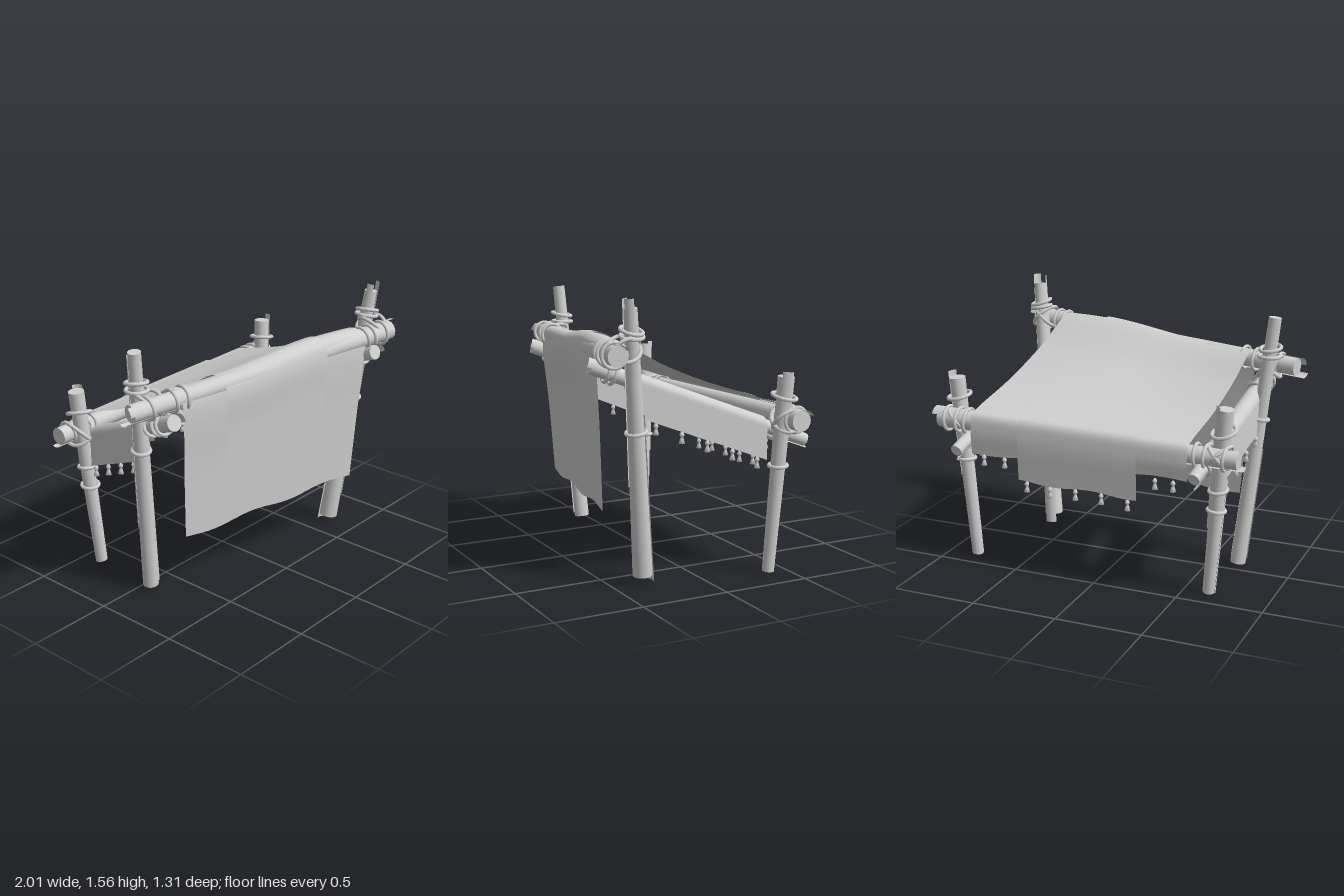
import * as THREE from 'three';

const V = (x, y, z) => new THREE.Vector3(x, y, z);
const lerp = THREE.MathUtils.lerp;
const UP = V(0, 1, 0);
const clay = new THREE.MeshStandardMaterial({ color: 0xd0d0d0, side: THREE.DoubleSide });
clay.name = 'plain grey';

function add(parent, geometry, name) {
  const mesh = new THREE.Mesh(geometry, clay);
  mesh.name = name;
  parent.add(mesh);
  return mesh;
}

// Log from a to b, with split bark strips [angle, arc, start, end] along its length
function log(parent, name, a, b, ra, rb, strips) {
  const g = new THREE.Group();
  g.name = name;
  const dir = b.clone().sub(a), len = dir.length();
  g.position.copy(a);
  g.quaternion.setFromUnitVectors(UP, dir.normalize());
  const core = add(g, new THREE.CylinderGeometry(rb, ra, len, 18), 'core');
  core.position.y = len / 2;
  for (const [angle, arc, s, e] of strips) {
    const r0 = lerp(ra, rb, s / len) + 0.006, r1 = lerp(ra, rb, e / len) + 0.006;
    const bark = add(g, new THREE.CylinderGeometry(r1, r0, e - s, 6, 1, true, angle, arc), 'barkStrip');
    bark.position.y = (s + e) / 2;
  }
  parent.add(g);
  return t => a.clone().lerp(b, t);
}

// Rope ring around an axis
function ring(parent, p, axis, r, tube = 0.011) {
  const m = add(parent, new THREE.TorusGeometry(r, tube, 8, 28), 'ropeRing');
  m.position.copy(p);
  m.quaternion.setFromUnitVectors(V(0, 0, 1), axis.clone().normalize());
}

// Cloth surface from fn(u, v)
function cloth(parent, name, nu, nv, fn) {
  const geo = new THREE.PlaneGeometry(1, 1, nu, nv), pos = geo.attributes.position;
  for (let i = 0; i < pos.count; i++) {
    const p = fn((i % (nu + 1)) / nu, Math.floor(i / (nu + 1)) / nv);
    pos.setXYZ(i, p.x, p.y, p.z);
  }
  geo.computeVertexNormals();
  return add(parent, geo, name);
}

const tasselProfile = [[0, 0], [0.006, 0], [0.013, -0.012], [0.013, -0.02], [0.007, -0.028],
  [0.01, -0.038], [0.017, -0.062], [0, -0.062]].map(p => new THREE.Vector2(...p));
const tasselGeo = new THREE.LatheGeometry(tasselProfile, 10);
function tassel(parent, p) {
  add(parent, tasselGeo, 'tassel').position.copy(p);
}

// Lengthwise profile of the canopy at width u, lifted by o
function canopyCurve(u, o, hemF, hemB) {
  const f = V(lerp(-0.67, 0.61, u), lerp(1.185, 1.25, u) - 0.016 * Math.sin(u * 2 * Math.PI), lerp(0.25, 0.5, u));
  const b = V(lerp(-0.57, 0.74, u), lerp(0.83, 0.86, u), -0.47);
  const front = y => V(lerp(f.x, lerp(-0.61, 0.575, u), (f.y - y) / 0.85), y, f.z + 0.02 + 0.045 * (y - 0.38) / 0.85 + o);
  const top = t => V(lerp(f.x, b.x, t), lerp(f.y + 0.07, b.y + 0.08, t) - 0.035 * Math.sin(t * Math.PI) + o, lerp(f.z - 0.02, b.z + 0.02, t));
  return new THREE.CatmullRomCurve3([
    front(hemF), front(lerp(hemF, f.y, 0.5)),
    V(f.x, f.y - 0.02, f.z + 0.065 + o), V(f.x, f.y + 0.048 + o * 0.7, f.z + 0.045 + o * 0.7),
    top(0), top(0.33), top(0.67), top(1),
    V(b.x, b.y + 0.055 + o * 0.7, b.z - 0.055 - o * 0.7), V(b.x, b.y - 0.03, b.z - 0.075 - o),
    V(b.x, hemB, b.z - 0.068 - o),
  ], false, 'centripetal');
}

function canopy(parent, name, u0, u1, o, hemF, hemB) {
  const nu = 24, curves = [];
  for (let i = 0; i <= nu; i++) {
    const u = lerp(u0, u1, i / nu);
    curves.push(canopyCurve(u, o, hemF(u), hemB(u)));
  }
  cloth(parent, name, nu, 70, (u, v) => curves[Math.round(u * nu)].getPoint(v));
}

// Narrow cloth folded over a side beam between t0 and t1, side = direction of the long flap
function valance(parent, name, beam, t0, t1, side, count) {
  const r = 0.052, outer = 0.185, inner = 0.1;
  const at = (t, v) => {
    const c = beam(t);
    if (v < 0.35) return c.add(V(side * r, -outer * (1 - v / 0.35), 0));
    if (v > 0.8) return c.add(V(-side * r, -inner * (v - 0.8) / 0.2, 0));
    const a = (v - 0.35) / 0.45 * Math.PI;
    return c.add(V(side * r * Math.cos(a), r * Math.sin(a), 0));
  };
  cloth(parent, name, 10, 40, (u, v) => at(lerp(t0, t1, u), v));
  for (let i = 0; i < count; i++) tassel(parent, at(lerp(t0, t1, (i + 0.6) / count), 0));
}

export function createModel() {
  const model = new THREE.Group();
  model.name = 'canopyShelter';

  // Posts: foot, head, radii, bark strips, ring fractions
  const posts = [
    ['frontLeftPost', V(0.65, 0.04, 0.32), V(0.79, 1.5, 0.465), 0.055, 0.036,
      [[0.3, 1.3, 0.15, 1.53], [2.6, 1.2, -0.05, 0.9], [4.6, 1, 0.5, 1.52]], [0.55, 0.9, 0.92]],
    ['frontRightPost', V(-0.68, 0.02, 0.055), V(-0.835, 1.48, 0.13), 0.045, 0.036,
      [[0.2, 1.2, 0.03, 1.0], [3.2, 1.2, 0.4, 1.45], [5, 0.9, 0.02, 0.7]], [0.6, 0.85, 0.88]],
    ['backLeftPost', V(0.815, 0.005, -0.38), V(0.88, 1.1, -0.43), 0.034, 0.046,
      [[0.6, 1.2, 0.5, 1.13], [3.5, 1, 0, 0.7]], [0.55, 0.9]],
    ['backRightPost', V(-0.65, 0.005, -0.38), V(-0.745, 1.09, -0.43), 0.034, 0.046,
      [[1.6, 1.2, 0.4, 1.11], [4.5, 1, 0, 0.7]], [0.46, 0.57, 0.88]],
  ];
  for (const [name, a, b, ra, rb, strips, rings] of posts) {
    const at = log(model, name, a, b, ra, rb, strips), axis = b.clone().sub(a);
    rings.forEach((t, i) => ring(model, at(t), axis.clone().add(V(i * 0.15, 0, 0.1 - i * 0.2)), lerp(ra, rb, t) + (t > 0.8 ? 0.022 : 0.009)));
  }

  // Cross beams and their lashings
  const beams = [
    ['frontBeam', V(-0.95, 1.19, 0.205), V(0.85, 1.265, 0.565), 0.05, 0.055,
      [[0.5, 1.3, -0.05, 0.5], [3.4, 1.2, 1.3, 1.87], [5, 1, -0.03, 0.3]], [0.06, 0.14, 0.18, 0.88, 0.91, 0.96]],
    ['backBeam', V(-0.84, 0.83, -0.485), V(0.97, 0.865, -0.475), 0.05, 0.058,
      [[0.8, 1.2, -0.03, 0.4], [3.6, 1.2, 1.4, 1.84]], [0.04, 0.1, 0.13, 0.9, 0.93, 0.97]],
    ['leftSideBeam', V(0.635, 1.195, 0.62), V(0.795, 0.72, -0.62), 0.043, 0.036,
      [[0.4, 1.2, -0.03, 0.4], [3.2, 1, 0.9, 1.37]], [0.07, 0.1, 0.18, 0.85, 0.88]],
    ['rightSideBeam', V(-0.765, 1.12, 0.34), V(-0.625, 0.73, -0.59), 0.045, 0.036,
      [[0.4, 1.2, -0.03, 0.35], [3.2, 1, 0.6, 1.05]], [0.09, 0.13, 0.2, 0.86, 0.9]],
  ];
  const path = {};
  for (const [name, a, b, ra, rb, strips, rings] of beams) {
    const at = path[name] = log(model, name, a, b, ra, rb, strips), axis = b.clone().sub(a);
    rings.forEach((t, i) => ring(model, at(t), axis.clone().add(V(0, 0.15 - 0.1 * (i % 3), 0)), lerp(ra, rb, t) + 0.012, 0.01));
  }

  // Slanted lashings where posts and beams cross
  for (const [x, y, z] of [[0.77, 1.29, 0.49], [-0.8, 1.19, 0.18], [0.86, 0.86, -0.45], [-0.72, 0.83, -0.45]]) {
    for (const s of [-1, 1]) ring(model, V(x, y, z), V(s, 1, 0.25), 0.085);
  }

  // Main canopy and the narrower panel laid over it
  const hemFront = u => 0.36 + 0.045 * u + 0.012 * Math.sin(u * 14 + 2.5);
  canopy(model, 'canopyCloth', 0, 1, 0, hemFront, u => 0.695 + 0.01 * Math.sin(u * 12));
  const panelHem = u => 0.55 + 0.02 * u + 0.008 * Math.sin(u * 18);
  canopy(model, 'canopyPanel', 0.22, 0.77, 0.009, () => 0.745, panelHem);

  // Side valances
  valance(model, 'leftValance', path.leftSideBeam, 0.2, 0.79, 1, 5);
  valance(model, 'rightValance', path.rightSideBeam, 0.25, 0.76, -1, 4);

  // Tassels along the back hem
  for (const u of [0.06, 0.14, 0.26, 0.38, 0.5, 0.62, 0.73, 0.84, 0.94]) {
    const onPanel = u > 0.22 && u < 0.77;
    tassel(model, V(lerp(-0.57, 0.74, u), onPanel ? panelHem(u) : 0.69, onPanel ? -0.547 : -0.538));
  }
  return model;
}
